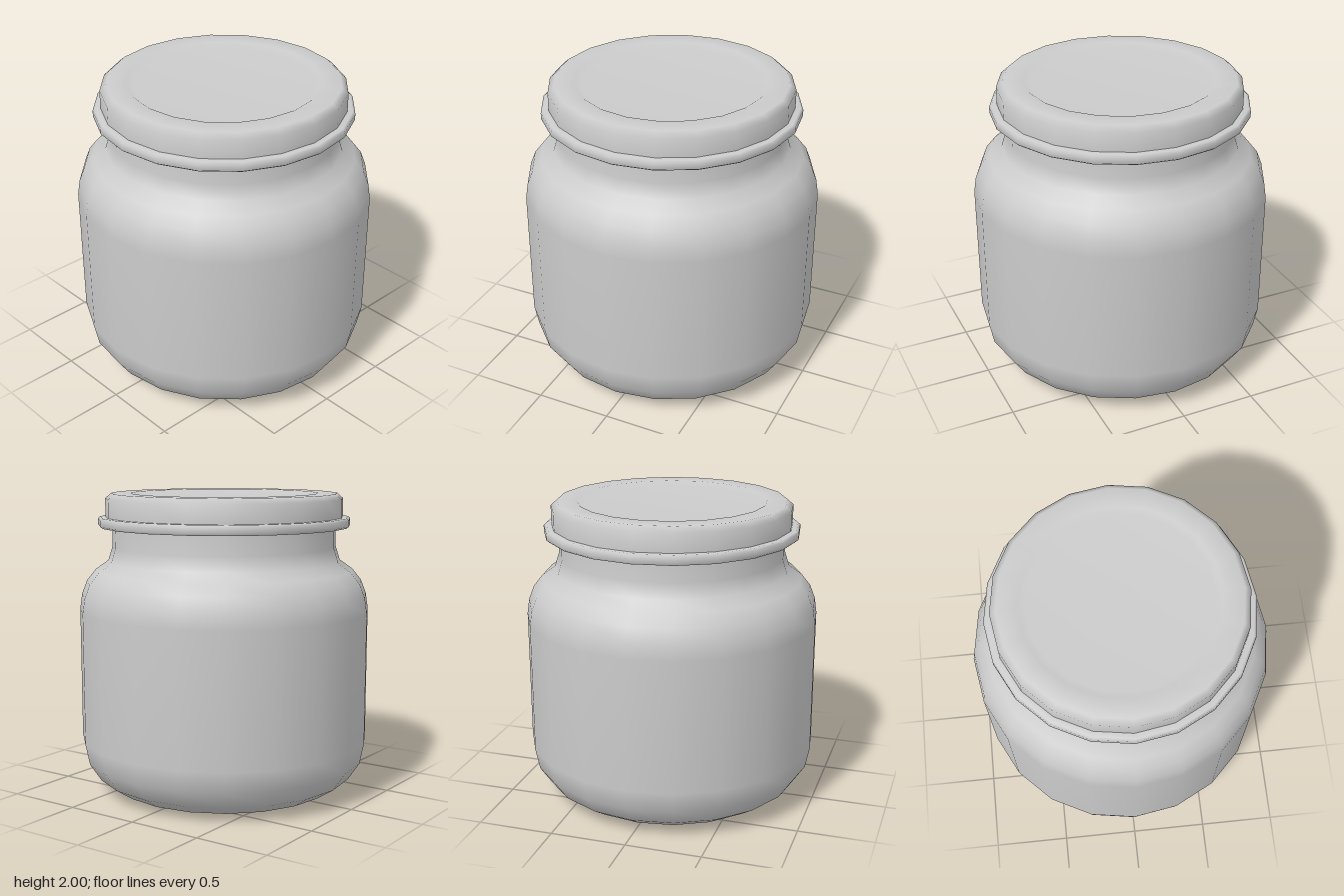
import * as THREE from 'three';

const SIDES = 20;
const material = new THREE.MeshStandardMaterial({ color: 0xcccccc, side: THREE.DoubleSide });

// Revolve a profile of [radius, height] pairs, listed from bottom to top
function turned(name, profile) {
  const points = profile.map(([r, y]) => new THREE.Vector2(r, y));
  const mesh = new THREE.Mesh(new THREE.LatheGeometry(points, SIDES), material);
  mesh.name = name;
  return mesh;
}

export function createModel() {
  const group = new THREE.Group();
  group.name = 'jar';

  // Jar body: recessed base, rounded foot, straight wall, shoulder and neck
  group.add(turned('jarBody', [
    [0, 0.05], [0.48, 0.05], [0.52, 0.035], [0.56, 0.008], [0.62, 0.0],
    [0.75, 0.03], [0.865, 0.105], [0.942, 0.22], [0.97, 0.36],
    [0.97, 1.23], [0.955, 1.33], [0.92, 1.42], [0.86, 1.495],
    [0.775, 1.555], [0.745, 1.65], [0.745, 1.85],
  ]));

  // Lid: flat underside, rolled rim, then the cap with a sunken centre
  const lid = new THREE.Group();
  lid.name = 'lid';
  lid.add(turned('lidUnderside', [[0.74, 1.78], [0.825, 1.78]]));
  lid.add(turned('lidRim', [
    [0.825, 1.78], [0.84, 1.792], [0.84, 1.832], [0.825, 1.845], [0.785, 1.845],
  ]));
  lid.add(turned('lidCap', [
    [0.79, 1.84], [0.79, 1.965], [0.75, 2.0], [0.62, 2.0], [0.575, 1.972], [0, 1.972],
  ]));
  group.add(lid);

  return group;
}
